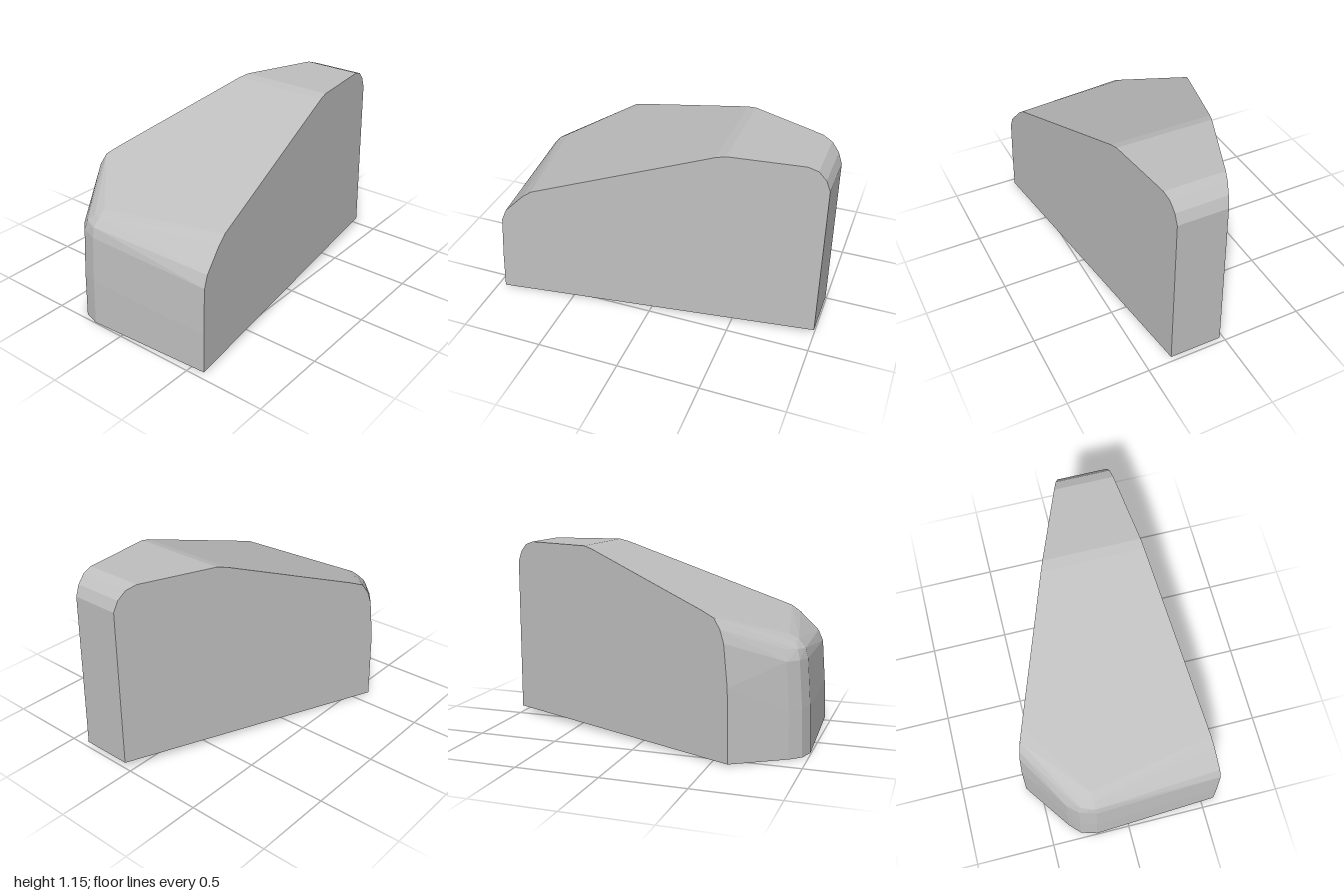
import * as THREE from 'three';
import { ConvexGeometry } from 'three/addons/geometries/ConvexGeometry.js';

// Flat side walls, underside and sloping roof
const rightX = (z) => 0.04 - 0.394 * (z + 1);
const leftX = (y, z) => 0.36 + 0.115 * (z + 1) - 0.018 * y;
const floorY = (z) => 0.02 * (1 - z);
const roofY = (z) => 1.14 - 0.363 * (z + 0.37);

export function createModel() {
  const group = new THREE.Group();
  group.name = 'wedgeBlock';
  const grey = new THREE.MeshStandardMaterial({ color: 0xc0c0c0 });
  grey.name = 'grey';

  const points = [];
  const add = (x, y, z) => points.push(new THREE.Vector3(x, y, z));
  const addRight = (y, z) => add(rightX(z), y, z);
  const addLeft = (y, z) => add(leftX(y, z), y, z);

  // Back and roof profile, from wall to wall
  const profile = [
    [floorY(-1), -1], [1.02, -1], [1.085, -0.975], [1.135, -0.93],
    [1.155, -0.87], [1.155, -0.43], [1.14, -0.37],
  ];
  for (const [y, z] of profile) {
    addRight(y, z);
    addLeft(y, z);
  }

  // Rounded nose in rising loops: right wall [y, z], corner [x, y, z], left wall [y, z]
  const loops = [
    { right: [floorY(0.6), 0.6], left: [floorY(0.955), 0.955],
      corner: [[-0.375, 0.002, 0.9], [-0.31, 0.001, 0.965], [-0.21, 0, 0.995]] },
    { right: [0.44, 0.592], left: [0.24, 0.945],
      corner: [[-0.375, 0.285, 0.893], [-0.31, 0.285, 0.956], [-0.21, 0.285, 0.985]] },
    { right: [0.685, 0.565], left: [0.515, 0.925],
      corner: [[-0.375, 0.565, 0.875], [-0.31, 0.565, 0.935], [-0.21, 0.56, 0.965]] },
    { right: [0.76, 0.54], left: [0.585, 0.895],
      corner: [[-0.345, 0.63, 0.867], [-0.295, 0.625, 0.92], [-0.215, 0.62, 0.95]] },
    { right: [0.82, 0.5], left: [0.705, 0.775],
      corner: [[-0.3, 0.658, 0.86], [-0.26, 0.662, 0.895], [-0.21, 0.665, 0.91]] },
    { right: [roofY(0.42), 0.42], left: [roofY(0.72), 0.72],
      corner: [[-0.22, roofY(0.855), 0.855]] },
  ];
  for (const { right, left, corner } of loops) {
    addRight(...right);
    addLeft(...left);
    corner.forEach((p) => add(...p));
  }

  const body = new THREE.Mesh(new ConvexGeometry(points), grey);
  body.name = 'body';
  group.add(body);
  return group;
}
